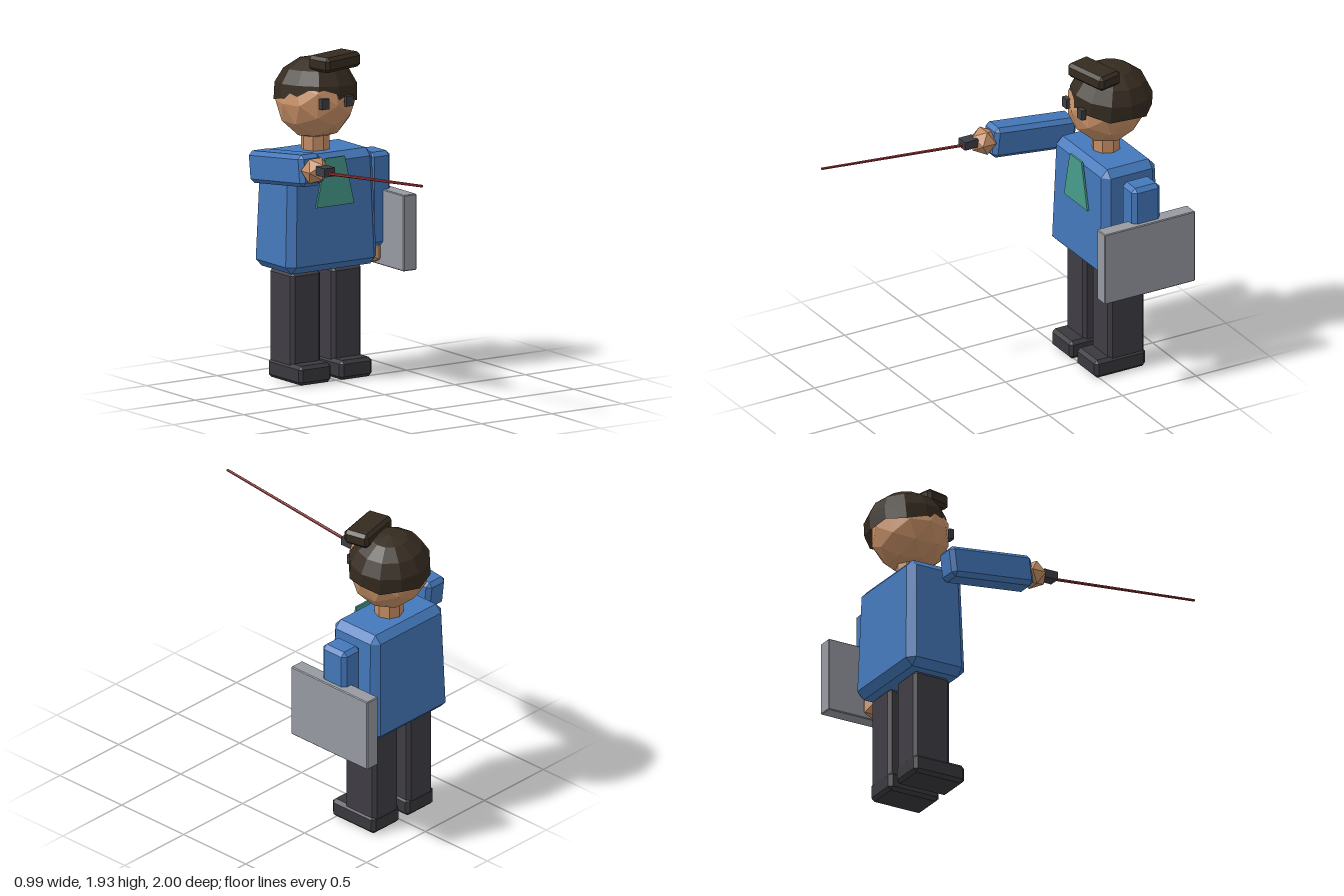
import * as THREE from 'three';
import { ConvexGeometry } from 'three/addons/geometries/ConvexGeometry.js';

const mat = (name, color, extra = {}) => {
  const m = new THREE.MeshStandardMaterial({ color, ...extra });
  m.name = name;
  return m;
};

// One normal per face, for the low-poly look
function flat(geometry) {
  const g = geometry.index ? geometry.toNonIndexed() : geometry;
  g.computeVertexNormals();
  return g;
}

// Box with chamfered edges; the top may be narrower than the base
function chamferBox(w, h, d, b, topX = 1, topZ = topX) {
  const points = [];
  for (const sx of [-1, 1]) for (const sy of [-1, 1]) for (const sz of [-1, 1]) {
    for (const [ix, iy, iz] of [[0, b, b], [b, 0, b], [b, b, 0]]) {
      const y = sy * (h / 2 - iy);
      const t = y / h + 0.5;
      points.push(new THREE.Vector3(
        sx * (w / 2 - ix) * (1 + (topX - 1) * t),
        y,
        sz * (d / 2 - iz) * (1 + (topZ - 1) * t)));
    }
  }
  return new ConvexGeometry(points);
}

export function createModel() {
  const model = new THREE.Group();
  model.name = 'figureWithPointer';

  const shirt = mat('shirtBlue', 0x4478bb);
  const skin = mat('skin', 0xc68f66);
  const hair = mat('hairBrown', 0x352b20, { side: THREE.DoubleSide });
  const trousers = mat('trousersCharcoal', 0x3f3d44);
  const shoes = mat('shoesCharcoal', 0x39383d);
  const dark = mat('darkGrey', 0x3d3d45);
  const green = mat('collarGreen', 0x469c8c);
  const grey = mat('caseGrey', 0x979aa2);
  const red = mat('pointerRed', 0xa03434);

  const add = (name, geometry, material, x, y, z) => {
    const mesh = new THREE.Mesh(geometry, material);
    mesh.name = name;
    mesh.position.set(x, y, z);
    model.add(mesh);
    return mesh;
  };

  // Legs and shoes
  for (const [side, x] of [['right', -0.16], ['left', 0.13]]) {
    add(side + 'Leg', chamferBox(0.21, 0.635, 0.244, 0.02), trousers, x, 0.338, -0.69);
    add(side + 'Shoe', chamferBox(0.23, 0.115, 0.344, 0.02), shoes, x, 0.0575, -0.642);
  }

  // Torso, collar panel and neck
  add('torso', chamferBox(0.646, 0.695, 0.4, 0.045, 0.92, 0.9), shirt, -0.013, 1.008, -0.688);
  const panel = new THREE.Shape([[-0.134, 0], [0.134, 0], [0.067, 0.29], [-0.067, 0.29]]
    .map(([x, y]) => new THREE.Vector2(x, y)));
  add('collarPanel', new THREE.ExtrudeGeometry(panel, { depth: 0.012, bevelEnabled: false }),
    green, -0.014, 1.047, -0.497);
  add('neck', flat(new THREE.CylinderGeometry(0.085, 0.085, 0.14, 8)), skin, -0.014, 1.4, -0.692);

  // Head and eyes
  add('head', flat(new THREE.IcosahedronGeometry(0.235, 1)), skin, -0.014, 1.648, -0.692);
  for (const [side, x] of [['right', -0.101], ['left', 0.071]])
    add(side + 'Eye', new THREE.BoxGeometry(0.051, 0.062, 0.03), dark, x, 1.666, -0.475);

  // Hair: faceted cap with a wavy rim, and a block on top
  const cap = new THREE.SphereGeometry(0.25, 12, 4, 0, Math.PI * 2, 0, Math.PI * 0.56);
  const p = cap.attributes.position;
  for (let i = 0; i < p.count; i++) {
    if (p.getY(i) < -0.02)
      p.setY(i, p.getY(i) + 0.012 * Math.cos(6 * Math.atan2(p.getZ(i), p.getX(i))));
  }
  cap.scale(1, 0.86, 1);
  const hairCap = add('hairCap', flat(cap), hair, 0.002, 1.69, -0.714);
  hairCap.rotation.set(-0.06, 0, -0.07);
  add('hairTop', chamferBox(0.298, 0.09, 0.165, 0.02), hair, 0.043, 1.89, -0.577).rotation.y = 0.23;

  // Lowered left arm carrying a flat case
  add('leftArm', chamferBox(0.15, 0.56, 0.19, 0.025), shirt, 0.39, 1.02, -0.692);
  add('leftHand', new THREE.IcosahedronGeometry(0.083, 0), skin, 0.39, 0.697, -0.692);
  add('case', chamferBox(0.093, 0.455, 0.615, 0.005), grey, 0.447, 0.848, -0.692);

  // Raised right arm holding a pointer
  add('rightArm', chamferBox(0.152, 0.19, 0.56, 0.025), shirt, -0.421, 1.334, -0.415).rotation.x = -0.12;
  add('rightHand', new THREE.IcosahedronGeometry(0.086, 0), skin, -0.421, 1.372, -0.1);
  add('pointerGrip', new THREE.BoxGeometry(0.075, 0.052, 0.09), dark, -0.421, 1.386, 0.002);
  const start = new THREE.Vector3(-0.421, 1.376, 0.02);
  const end = new THREE.Vector3(-0.421, 1.47, 0.999);
  const along = end.clone().sub(start);
  const mid = start.clone().add(end).multiplyScalar(0.5);
  const rod = add('pointer', flat(new THREE.CylinderGeometry(0.008, 0.01, along.length(), 6)),
    red, mid.x, mid.y, mid.z);
  rod.quaternion.setFromUnitVectors(new THREE.Vector3(0, 1, 0), along.normalize());

  return model;
}
